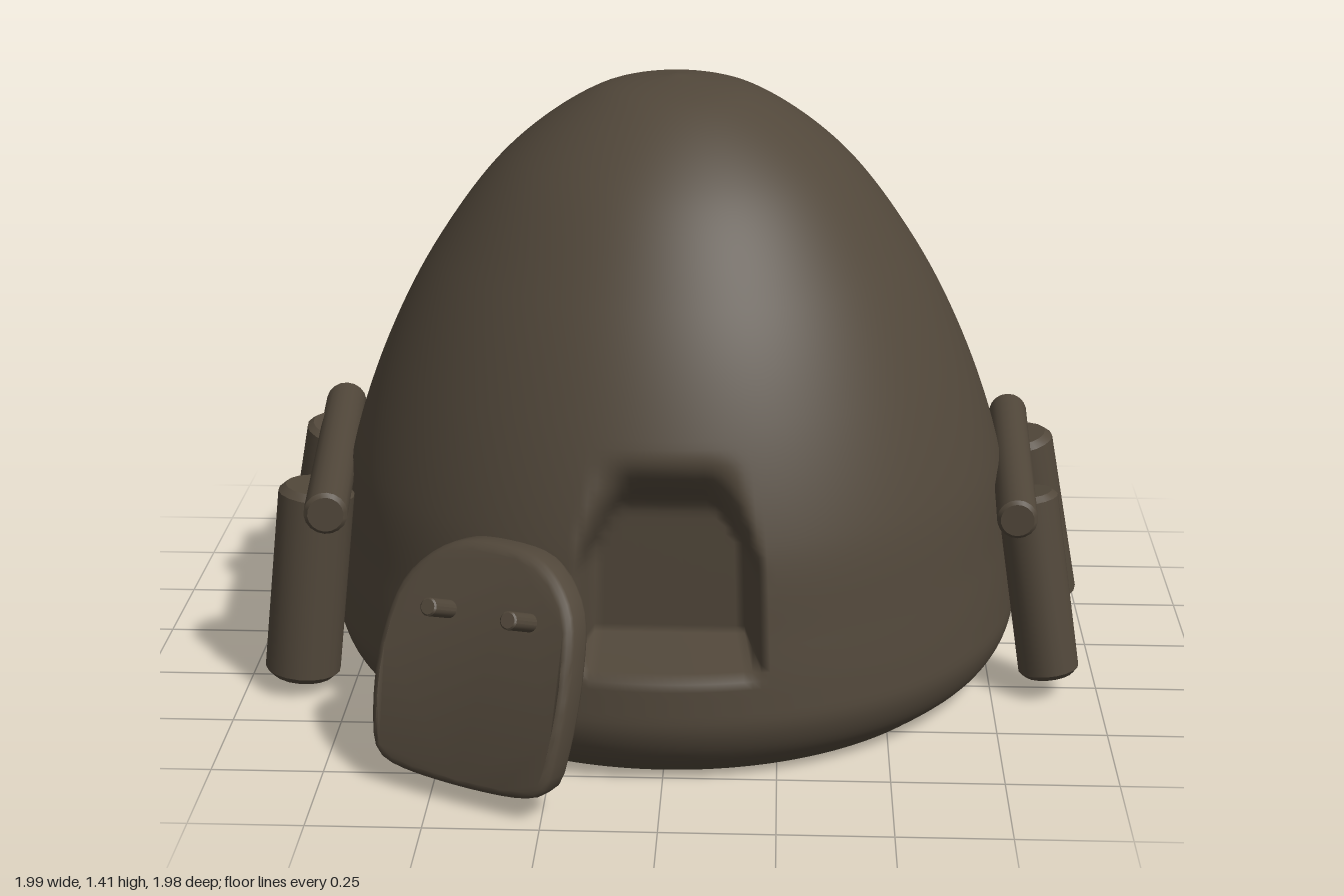
import * as THREE from 'three';
import { mergeVertices, toCreasedNormals } from 'three/addons/utils/BufferGeometryUtils.js';

const V = (x, y, z) => new THREE.Vector3(x, y, z);
const P = (x, y) => new THREE.Vector2(x, y);
const ss = THREE.MathUtils.smoothstep;

const clay = new THREE.MeshStandardMaterial({ color: 0x51473a });
clay.name = 'dark brown clay';

function mesh(geometry, name) {
  const m = new THREE.Mesh(geometry, clay);
  m.name = name;
  return m;
}

// Log with slightly bevelled ends, running from a to b
function log(a, b, r, name) {
  const len = a.distanceTo(b);
  const e = r * 0.18;
  const profile = [P(0, 0), P(r - e, 0), P(r, e), P(r, len - e), P(r - e, len), P(0, len)];
  const m = mesh(toCreasedNormals(new THREE.LatheGeometry(profile, 18), 0.6), name);
  m.position.copy(a);
  m.quaternion.setFromUnitVectors(V(0, 1, 0), b.clone().sub(a).normalize());
  return m;
}

// Dome shell with a doorway pressed into the front
function domeGeometry() {
  const curve = new THREE.SplineCurve([
    P(0.71, 0), P(0.78, 0.06), P(0.813, 0.13), P(0.812, 0.2), P(0.797, 0.33), P(0.765, 0.54),
    P(0.68, 0.785), P(0.56, 1.015), P(0.395, 1.23), P(0.19, 1.375), P(0, 1.413),
  ]);
  const profile = curve.getSpacedPoints(100);
  profile[100].x = 0;
  const lathe = new THREE.LatheGeometry(profile, 256, Math.PI);
  lathe.deleteAttribute('uv');
  lathe.deleteAttribute('normal');
  const geo = mergeVertices(lathe, 1e-5);
  const pos = geo.attributes.position;
  for (let i = 0; i < pos.count; i++) {
    const x = pos.getX(i), y = pos.getY(i), z = pos.getZ(i);
    if (z < 0.5) continue;
    const half = 0.185 - 0.06 * ss(y, 0.46, 0.66);
    const soft = 0.015 + 0.035 * ss(y, 0.45, 0.65);
    const side = 1 - ss(Math.abs(x - 0.01), half - soft, half + soft);
    const mask = side * ss(y, 0.265, 0.285) * (1 - ss(y, 0.57, 0.74));
    pos.setZ(i, THREE.MathUtils.lerp(z, 0.61, mask));
  }
  geo.computeVertexNormals();
  return geo;
}

// Rounded door slab, bowed backwards towards its top
function doorGeometry() {
  const half = [P(0.17, 0.005), P(0.215, 0.03), P(0.235, 0.11), P(0.24, 0.27), P(0.21, 0.41), P(0.12, 0.495)];
  const outline = [...half, P(0, 0.515), ...half.slice().reverse().map((p) => P(-p.x, p.y))];
  const loop = new THREE.CatmullRomCurve3(outline.map((p) => V(p.x, p.y, 0)), true);
  const shape = new THREE.Shape(loop.getSpacedPoints(60).slice(0, 60).map((p) => P(p.x, p.y)));
  const geo = new THREE.ExtrudeGeometry(shape, {
    depth: 0.045, bevelEnabled: true, bevelThickness: 0.018, bevelSize: 0.018, bevelOffset: -0.018, bevelSegments: 3,
  });
  geo.translate(0, 0, -0.022);
  const pos = geo.attributes.position;
  for (let i = 0; i < pos.count; i++) {
    const y = pos.getY(i);
    pos.setZ(i, pos.getZ(i) - 0.36 * y * y);
  }
  return toCreasedNormals(geo, 0.7);
}

export function createModel() {
  const model = new THREE.Group();
  model.name = 'domeHut';

  model.add(mesh(domeGeometry(), 'dome'));
  const floor = mesh(new THREE.CircleGeometry(0.71, 128), 'underside');
  floor.rotation.x = Math.PI / 2;
  model.add(floor);

  // Leaning props: a crossbar on two posts at the left, right and back
  const props = [
    ['left', [V(0.82, 0.485, -0.345), V(0.785, 0.485, 0.41), 0.046],
      [V(0.82, 0.49, 0.24), V(0.885, 0.055, 0.285), 0.07],
      [V(0.83, 0.48, -0.18), V(0.912, 0.045, -0.2), 0.085]],
    ['right', [V(-0.85, 0.49, -0.34), V(-0.775, 0.49, 0.45), 0.05],
      [V(-0.82, 0.5, 0.29), V(-0.87, 0.035, 0.31), 0.088],
      [V(-0.84, 0.5, -0.13), V(-0.93, 0.055, -0.2), 0.072]],
    ['back', [V(-0.335, 0.49, -0.842), V(0.335, 0.49, -0.825), 0.046],
      [V(-0.235, 0.48, -0.83), V(-0.24, 0.045, -0.91), 0.088],
      [V(0.25, 0.48, -0.82), V(0.285, 0.055, -0.91), 0.07]],
  ];
  for (const [side, bar, ...posts] of props) {
    const group = new THREE.Group();
    group.name = side + 'Prop';
    group.add(log(...bar, 'crossbar'));
    for (const post of posts) group.add(log(...post, 'post'));
    model.add(group);
  }

  // Door slab set aside and leaning on the dome, with two pegs
  const door = mesh(doorGeometry(), 'door');
  door.position.set(-0.42, 0.045, 0.865);
  door.rotation.set(-0.17, -0.47, 0, 'YXZ');
  model.add(door);
  model.add(log(V(-0.45, 0.39, 0.74), V(-0.495, 0.437, 0.835), 0.02, 'doorPeg'));
  model.add(log(V(-0.27, 0.4, 0.83), V(-0.315, 0.45, 0.93), 0.02, 'doorPeg'));

  return model;
}
